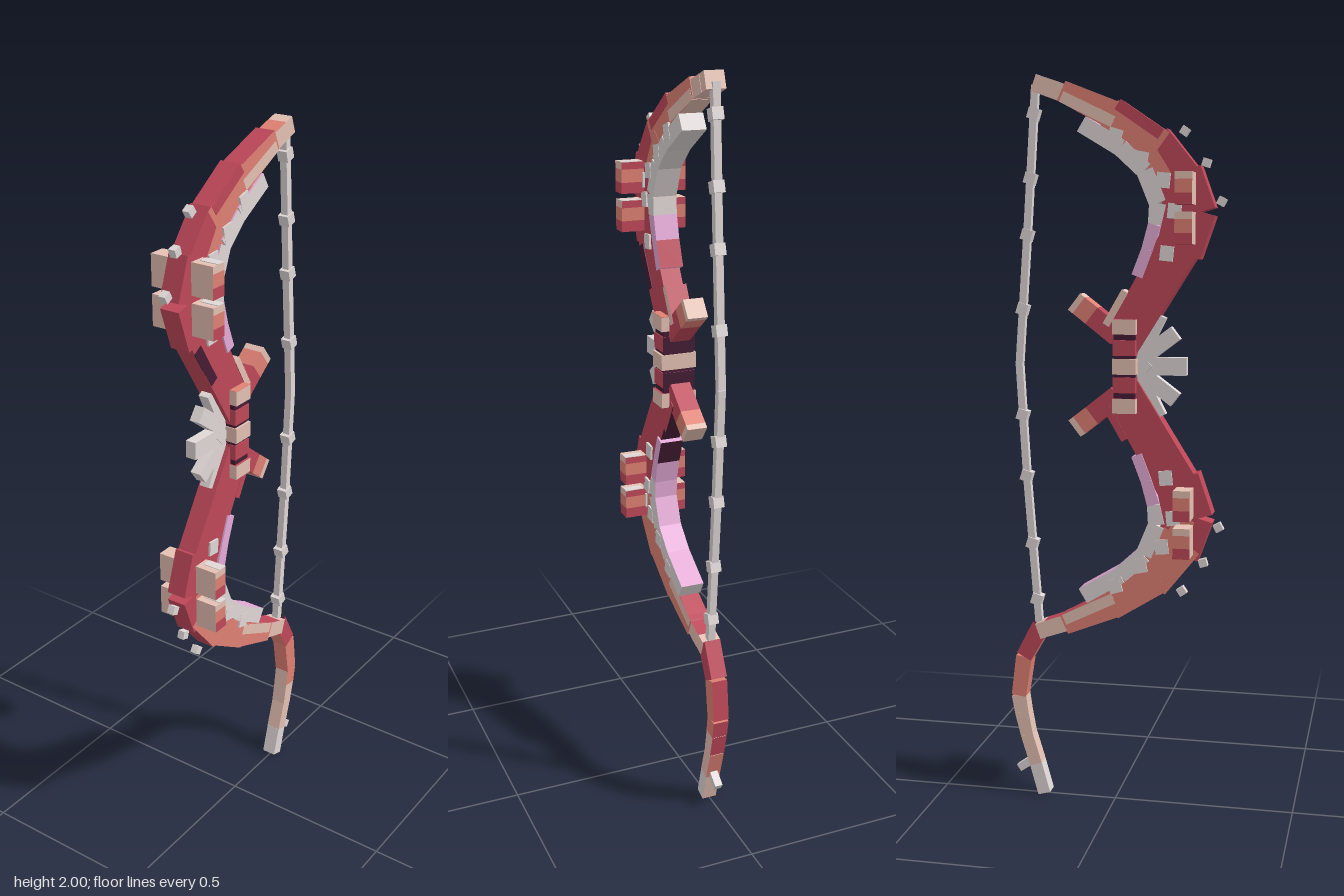
import * as THREE from 'three';

const material = (name, color) => {
  const m = new THREE.MeshStandardMaterial({ color });
  m.name = name;
  return m;
};

export function createModel() {
  const crimson = material('crimson', 0xbf4859);
  const coral = material('coral', 0xe08174);
  const tan = material('tan', 0xe5c0b3);
  const grey = material('light grey', 0xe0d8d7);
  const plum = material('dark plum', 0x451c34);
  const pink = material('pink', 0xe6abd8);

  const model = new THREE.Group();
  model.name = 'bow';
  const MID = 1.23; // height of the grip, the mirror line of both limbs

  // Box running from a to b in the xy plane, tapering from width w0 to w1.
  // faces: one material or [end, start, left side, right side, front, back]
  function bar(parent, name, a, b, w0, w1, depth, faces) {
    const dx = b[0] - a[0], dy = b[1] - a[1];
    const geo = new THREE.BoxGeometry(Math.hypot(dx, dy), 1, depth);
    const p = geo.attributes.position;
    for (let i = 0; i < p.count; i++) p.setY(i, p.getY(i) * (p.getX(i) > 0 ? w1 : w0));
    geo.computeVertexNormals();
    const mesh = new THREE.Mesh(geo, faces);
    mesh.name = name;
    mesh.position.set((a[0] + b[0]) / 2, (a[1] + b[1]) / 2, 0);
    mesh.rotation.z = Math.atan2(dy, dx);
    parent.add(mesh);
    return mesh;
  }

  function block(parent, name, x, y, z, w, h, d, faces, turn = 0) {
    const mesh = new THREE.Mesh(new THREE.BoxGeometry(w, h, d), faces);
    mesh.name = name;
    mesh.position.set(x, y, z);
    mesh.rotation.z = turn;
    parent.add(mesh);
  }

  // Both limbs share their layout; s = 1 is the upper, s = -1 the lower
  for (const s of [1, -1]) {
    const up = s > 0;
    const limb = new THREE.Group();
    limb.name = up ? 'upperLimb' : 'lowerLimb';
    model.add(limb);
    const at = ([x, y]) => [x, MID + s * (y - MID)];
    const faces = (outer, inner, side) =>
      [side, side, up ? outer : inner, up ? inner : outer, side, side];
    const piece = (name, a, b, w0, w1, d, f) => bar(limb, name, at(a), at(b), w0, w1, d, f);

    // Main curve
    piece('limbRoot', [-0.02, 1.29], [-0.18, 1.56], 0.1, 0.115, 0.056, faces(crimson, up ? crimson : plum, crimson));
    piece('limbElbow', [-0.175, 1.53], [-0.207, 1.645], 0.12, 0.135, 0.056, crimson);
    piece('limbBend', [-0.207, 1.63], [-0.175, 1.74], 0.135, 0.12, 0.0562, crimson);
    piece('limbShoulder', [-0.19, 1.7], [-0.1, 1.82], 0.12, 0.11, 0.0564, faces(crimson, coral, up ? crimson : coral));
    piece('limbArm', [-0.12, 1.8], [0.01, 1.895], 0.105, 0.08, 0.0566, faces(crimson, coral, coral));
    piece('limbEnd', [-0.01, 1.885], [0.14, 1.955], 0.075, 0.055, 0.0568,
      faces(up ? crimson : coral, up ? tan : crimson, coral));
    piece('limbNeck', [0.12, 1.944], [0.19, 1.969], 0.047, 0.045, 0.054, faces(coral, up ? tan : crimson, tan));
    piece('limbTip', [0.19, 1.969], [0.217, 1.979], 0.045, 0.045, 0.052, tan);

    // Painted patches on the flat sides
    if (up) {
      piece('darkPatch', [-0.132, 1.403], [-0.2, 1.51], 0.028, 0.03, 0.003, plum).position.z = 0.028;
      piece('warmPatch', [-0.14, 1.725], [-0.075, 1.81], 0.04, 0.06, 0.058, coral);
      piece('redEdge', [-0.128, 1.838], [-0.012, 1.917], 0.03, 0.03, 0.058, crimson);
    } else {
      piece('warmPatch', [-0.2, 1.64], [-0.165, 1.73], 0.05, 0.08, 0.058, coral);
    }
    piece('paleEdge', [0.0, 1.872], [0.14, 1.94], 0.03, 0.03, 0.058,
      faces(tan, up ? tan : crimson, tan));

    // Inner trim
    const trim = [[-0.065, 1.47], [-0.092, 1.54], [-0.112, 1.605], [-0.12, 1.66],
      [-0.085, 1.745], [-0.02, 1.805], [0.085, 1.868]];
    const trimWidths = [0.03, 0.03, 0.035, 0.045, 0.045, 0.045, 0.045];
    for (let i = 0; i < trim.length - 1; i++) {
      const inside = i === 0 ? (up ? crimson : plum) : (up && i > 1 ? grey : pink);
      piece('innerTrim', trim[i], trim[i + 1], trimWidths[i], trimWidths[i + 1], 0.066,
        faces(pink, inside, i < 2 ? pink : grey));
    }
    piece('rootEdge', [0.02, 1.34], [-0.032, 1.43], 0.02, 0.02, 0.06,
      faces(crimson, up ? crimson : plum, up ? tan : crimson));

    // Square studs on the flat sides and along the outer edge
    for (const [x, y, r] of [[-0.165, 1.64, 0.1], [-0.145, 1.53, 0.1], [-0.185, 1.69, 0],
      [-0.075, 1.775, 0.2], [-0.005, 1.835, 0.3], [-0.135, 1.72, 0.1]]) {
      const [px, py] = at([x, y]);
      block(limb, 'stud', px, py, 0, 0.036, 0.04, 0.068, grey, s * r);
    }
    for (const [x, y, r] of [[-0.286, 1.665, 0.5], [-0.187, 1.847, 0.6], [-0.245, 1.765, 0.3]]) {
      const [px, py] = at([x, y]);
      block(limb, 'edgeStud', px, py, 0, 0.022, 0.022, 0.02, grey, s * r);
    }

    // Cross pegs passing through the bend, each in three painted bands
    for (const y of [1.595, 1.697]) {
      const py = at([0, y])[1];
      block(limb, 'pegTop', -0.198, py + 0.032, 0, 0.046, 0.019, 0.184, [crimson, tan, tan, tan, tan, tan]);
      block(limb, 'pegMiddle', -0.198, py + 0.005, 0, 0.046, 0.035, 0.184, [coral, tan, tan, tan, coral, coral]);
      block(limb, 'pegBottom', -0.198, py - 0.027, 0, 0.046, 0.029, 0.184, [crimson, tan, tan, crimson, crimson, crimson]);
      block(limb, 'pegPlate', -0.188, py + 0.042, 0.066, 0.026, 0.002, 0.052, grey);
    }

    // Prong pointing toward the string
    piece('prong', [-0.01, 1.31], [0.06, 1.365], 0.055, 0.055, 0.056, crimson);
    piece('prongMiddle', [0.06, 1.365], [0.095, 1.392], 0.055, 0.055, 0.056, coral);
    piece('prongTip', [0.095, 1.392], [0.108, 1.402], 0.055, 0.055, 0.056, tan);
  }

  // Wrapped grip
  const grip = new THREE.Group();
  grip.name = 'grip';
  model.add(grip);
  block(grip, 'gripCore', -0.033, MID, 0, 0.058, 0.24, 0.086, plum);
  block(grip, 'gripCentre', -0.033, MID, 0, 0.064, 0.042, 0.1, tan);
  for (const s of [1, -1]) {
    block(grip, 'gripBand', -0.033, MID + s * 0.05, 0, 0.062, 0.042, 0.092,
      [plum, crimson, crimson, crimson, crimson, crimson]);
    block(grip, 'gripEnd', -0.033, MID + s * 0.106, 0, 0.064, 0.04, 0.1,
      [tan, tan, crimson, crimson, tan, tan]);
  }
  block(grip, 'gripTopPlate', -0.033, MID + 0.126, 0.039, 0.064, 0.002, 0.022, coral);

  // Fan of spikes ahead of the grip
  const fan = new THREE.Group();
  fan.name = 'spikeFan';
  model.add(fan);
  for (const [x, y, w] of [[-0.197, 0, 0.048], [-0.167, 0.09, 0.042], [-0.167, -0.09, 0.042],
    [-0.122, 0.138, 0.042], [-0.122, -0.138, 0.042]]) {
    bar(fan, 'spike', [-0.06, MID + y * 0.1], [x, MID + y], w, w, 0.03, grey);
  }
  block(fan, 'hub', -0.08, MID, 0, 0.036, 0.036, 0.036, grey, Math.PI / 4);

  // Bowstring with knots
  const string = new THREE.Group();
  string.name = 'bowstring';
  model.add(string);
  const line = [[0.217, 1.975], [0.243, 1.58], [0.268, 1.23], [0.25, 0.92], [0.217, 0.49]];
  for (let i = 0; i < line.length - 1; i++) {
    bar(string, 'stringPiece', line[i], line[i + 1], 0.02, 0.02, 0.02, grey);
  }
  for (const y of [1.9, 1.73, 1.58, 1.38, 1.09, 0.92, 0.73, 0.57]) {
    const i = line.findIndex((p, k) => k < 4 && y <= p[1] && y >= line[k + 1][1]);
    const [a, b] = [line[i], line[i + 1]];
    const x = a[0] + (b[0] - a[0]) * (a[1] - y) / (a[1] - b[1]);
    block(string, 'knot', x, y, 0, 0.03, 0.03, 0.03, grey, 0.3);
  }

  // Curved tail below the lower tip, each piece toned [front, back, outer, inner]
  const tail = new THREE.Group();
  tail.name = 'tail';
  model.add(tail);
  const path = [[0.21, 0.495], [0.259, 0.405], [0.275, 0.29], [0.267, 0.24], [0.253, 0.175], [0.227, 0.09], [0.203, 0.005]];
  const widths = [0.05, 0.046, 0.042, 0.04, 0.036, 0.036, 0.036];
  const tones = [[crimson, crimson, crimson, coral], [coral, coral, crimson, coral], [coral, tan, crimson, tan],
    [tan, tan, crimson, tan], [tan, tan, coral, tan], [grey, grey, tan, grey]];
  tones.forEach(([front, back, outer, inner], i) => {
    bar(tail, 'tailPiece', path[i], path[i + 1], widths[i], widths[i + 1], 0.046 - i * 0.001,
      [front, i ? front : plum, outer, inner, front, back]);
  });
  bar(tail, 'tailSpur', [0.225, 0.108], [0.28, 0.07], 0.022, 0.022, 0.022, grey);

  return model;
}
